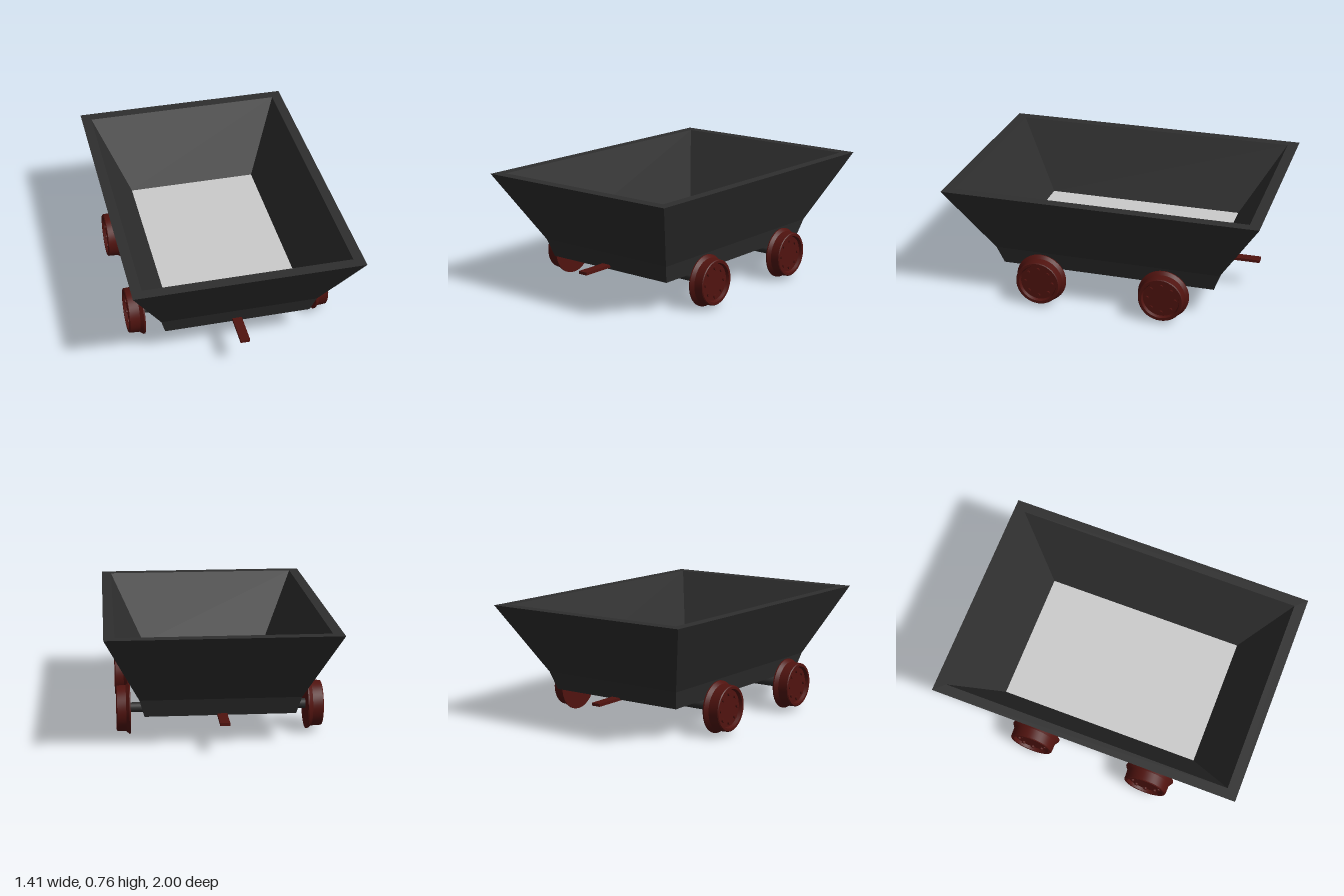
import * as THREE from 'three';
import { toCreasedNormals } from 'three/addons/utils/BufferGeometryUtils.js';

const iron = new THREE.MeshStandardMaterial({ color: 0x2e2e2e });
const red = new THREE.MeshStandardMaterial({ color: 0x50130f });
const grey = new THREE.MeshStandardMaterial({ color: 0xcccccc });

function addMesh(parent, name, geometry, material, x = 0, y = 0, z = 0) {
  const mesh = new THREE.Mesh(geometry, material);
  mesh.name = name;
  mesh.position.set(x, y, z);
  parent.add(mesh);
  return mesh;
}

// Skin between successive rectangles [halfX, y, halfZ], with flat normals
function rectangleLoft(rings) {
  const positions = [];
  const corner = ([hx, y, hz], i) => {
    const [sx, sz] = [[1, 1], [1, -1], [-1, -1], [-1, 1]][i % 4];
    return [hx * sx, y, hz * sz];
  };
  for (let r = 0; r < rings.length - 1; r++) {
    for (let i = 0; i < 4; i++) {
      const a = corner(rings[r], i), b = corner(rings[r], i + 1);
      const c = corner(rings[r + 1], i + 1), d = corner(rings[r + 1], i);
      positions.push(...a, ...b, ...c, ...a, ...c, ...d);
    }
  }
  const geometry = new THREE.BufferGeometry();
  geometry.setAttribute('position', new THREE.Float32BufferAttribute(positions, 3));
  geometry.computeVertexNormals();
  return geometry;
}

// Flanged wheel with a dished outer face; its axis is y, inner face at y = 0
function createWheel(name) {
  const wheel = new THREE.Group();
  wheel.name = name;
  const profile = [
    [0, 0], [0.163, 0], [0.163, 0.008], [0.146, 0.03], [0.143, 0.09],
    [0.138, 0.095], [0.122, 0.095], [0.115, 0.075], [0, 0.075],
  ].map(([r, y]) => new THREE.Vector2(r, y));
  addMesh(wheel, 'wheelDisc', toCreasedNormals(new THREE.LatheGeometry(profile, 40), 0.4), red);
  // Ring of bolts on the dished face
  const bolt = new THREE.CylinderGeometry(0.012, 0.012, 0.012, 10);
  for (let i = 0; i < 8; i++) {
    const a = (i / 8) * Math.PI * 2;
    addMesh(wheel, 'wheelBolt', bolt, red, Math.cos(a) * 0.09, 0.08, Math.sin(a) * 0.09);
  }
  return wheel;
}

export function createModel() {
  const cart = new THREE.Group();
  cart.name = 'tipperCart';

  // Tub: underside, tapered base, flared walls, flat rim, inner walls
  addMesh(cart, 'tub', rectangleLoft([
    [0, 0.2, 0], [0.465, 0.2, 0.69], [0.495, 0.315, 0.73], [0.705, 0.76, 1],
    [0.64, 0.76, 0.93], [0.425, 0.32, 0.655],
  ]), iron);

  // Tub floor
  const floor = new THREE.PlaneGeometry(0.85, 1.31).rotateX(-Math.PI / 2);
  addMesh(cart, 'tubFloor', floor, grey, 0, 0.32, 0);

  // Wheel sets
  const axle = new THREE.CylinderGeometry(0.031, 0.031, 1.12, 24).rotateZ(Math.PI / 2);
  for (const [end, z] of [['front', 0.41], ['rear', -0.39]]) {
    addMesh(cart, end + 'Axle', axle, iron, -0.01, 0.17, z);

    const left = createWheel(end + 'LeftWheel');
    left.rotation.z = -Math.PI / 2;
    left.scale.y = 0.92;
    left.position.set(0.545, 0.166, z);

    const right = createWheel(end + 'RightWheel');
    right.rotation.z = Math.PI / 2;
    right.scale.y = 1.05;
    right.position.set(-0.565, 0.172, z);
    cart.add(left, right);
  }

  // Coupling bars
  addMesh(cart, 'frontCoupling', new THREE.BoxGeometry(0.06, 0.018, 0.25), red, -0.01, 0.223, 0.79);
  addMesh(cart, 'rearCoupling', new THREE.BoxGeometry(0.06, 0.018, 0.24), red, -0.01, 0.203, -0.77);

  return cart;
}
